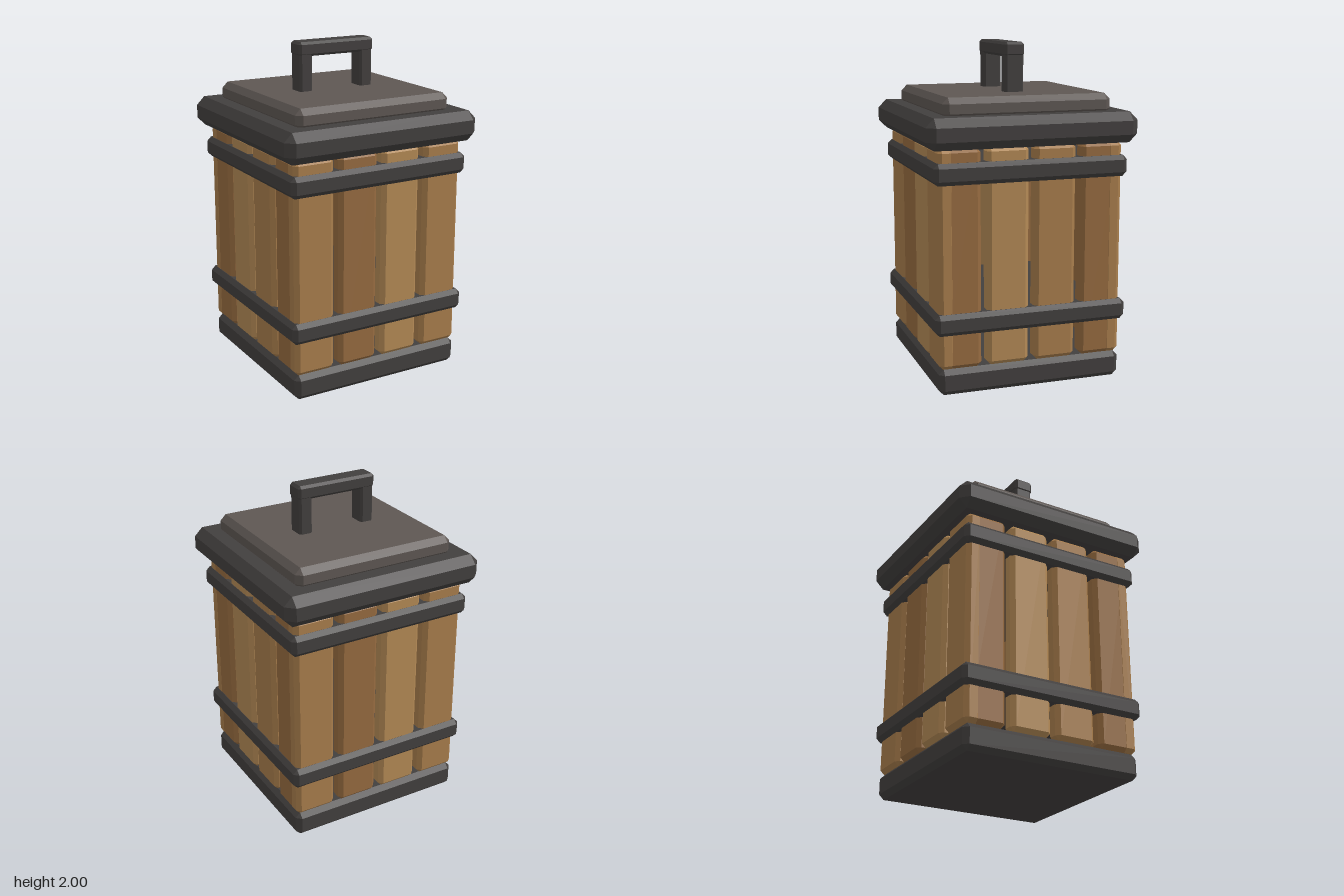
import * as THREE from 'three';
import { ConvexGeometry } from 'three/addons/geometries/ConvexGeometry.js';

const paint = (color) => new THREE.MeshStandardMaterial({ color, flatShading: true });
const metal = paint(0x423f3e);
const plateMetal = paint(0x5e5753);
const woods = [paint(0xa87d4c), paint(0x966b40), paint(0xb38955)];

// Box with every edge chamfered by c
function chamferBox(w, h, d, c) {
  const points = [];
  for (const sx of [-1, 1]) for (const sy of [-1, 1]) for (const sz of [-1, 1]) {
    const x = w / 2, y = h / 2, z = d / 2;
    points.push(
      new THREE.Vector3(sx * x, sy * (y - c), sz * (z - c)),
      new THREE.Vector3(sx * (x - c), sy * y, sz * (z - c)),
      new THREE.Vector3(sx * (x - c), sy * (y - c), sz * z)
    );
  }
  return new ConvexGeometry(points);
}

function addBlock(parent, name, material, [w, h, d], [x, y, z], c) {
  const mesh = new THREE.Mesh(chamferBox(w, h, d, c), material);
  mesh.name = name;
  mesh.position.set(x, y, z);
  parent.add(mesh);
}

export function createModel() {
  const model = new THREE.Group();
  model.name = 'slattedBin';

  // Base, hoops and lid
  addBlock(model, 'base', metal, [1.12, 0.155, 1.12], [0, 0.0775, 0], 0.03);
  addBlock(model, 'lowerBand', metal, [1.17, 0.125, 1.17], [0, 0.425, 0], 0.026);
  addBlock(model, 'upperBand', metal, [1.17, 0.125, 1.17], [0, 1.292, 0], 0.026);
  addBlock(model, 'lidRim', metal, [1.27, 0.18, 1.27], [0, 1.52, 0], 0.05);
  addBlock(model, 'lidPlate', plateMetal, [1.016, 0.125, 1.016], [0, 1.6475, 0], 0.035);

  // Four walls of spaced slats, the wood tones shifting by one on the sides
  const width = 0.254, gap = 0.033, thickness = 0.1;
  for (let side = 0; side < 4; side++) {
    const wall = new THREE.Group();
    wall.name = ['front', 'left', 'back', 'right'][side] + 'Wall';
    wall.rotation.y = side * Math.PI / 2;
    const face = side % 2 ? 0.556 : 0.558;
    for (let i = 0; i < 4; i++) {
      const x = (i - 1.5) * (width + gap);
      addBlock(wall, 'slat', woods[(i + side % 2) % 3],
        [width, 1.28, thickness], [x, 0.795, face - thickness / 2], 0.025);
    }
    model.add(wall);
  }

  // Handle
  const handle = new THREE.Group();
  handle.name = 'handle';
  for (const s of [-1, 1]) {
    addBlock(handle, 'handlePost', metal, [0.084, 0.27, 0.115], [s * 0.205, 1.815, 0], 0.013);
  }
  addBlock(handle, 'handleBar', metal, [0.505, 0.085, 0.122], [0, 1.9575, 0], 0.015);
  model.add(handle);

  return model;
}
